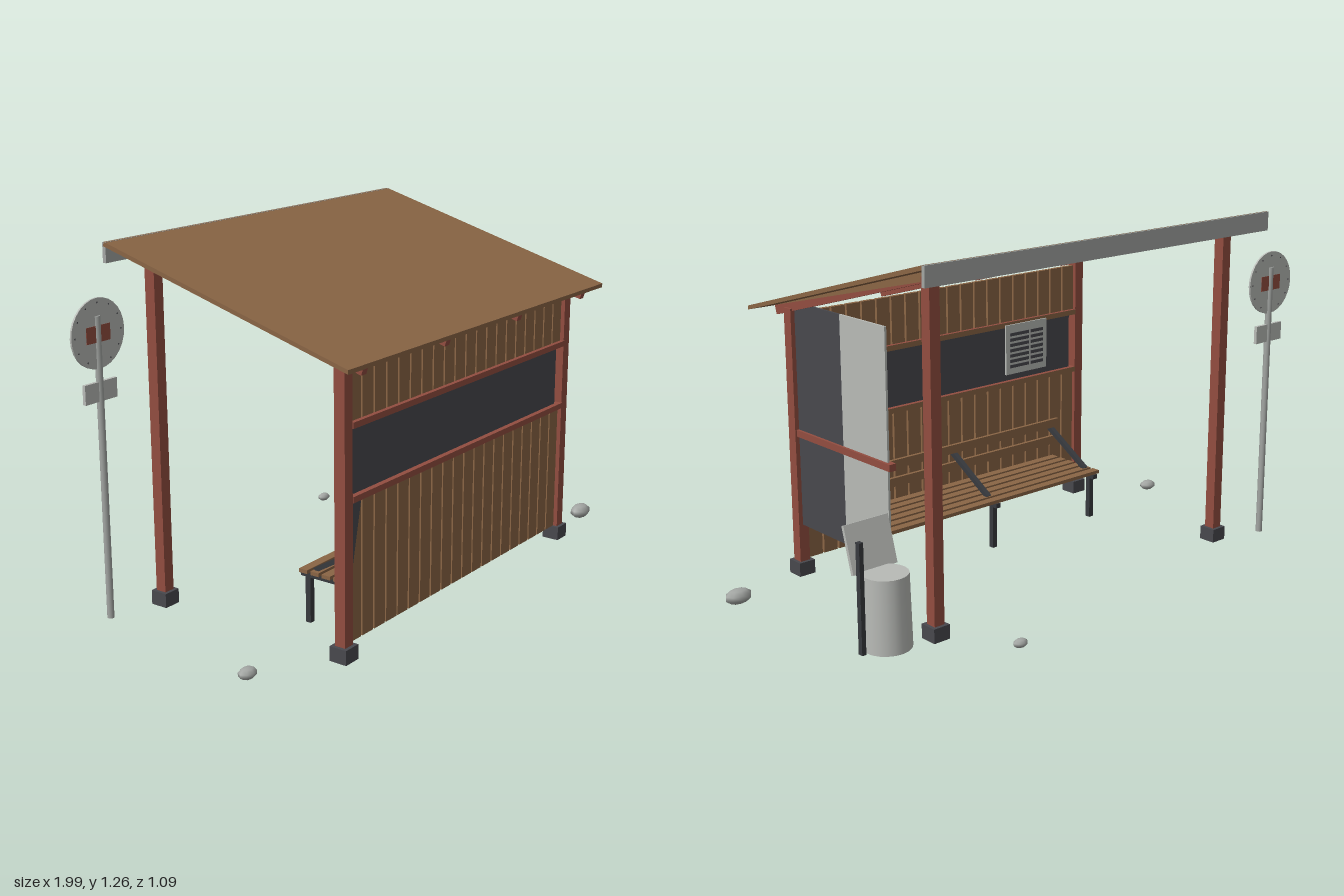
import * as THREE from 'three';

const mat = (name, color, extra = {}) => Object.assign(new THREE.MeshStandardMaterial({ color, ...extra }), { name });

export function createModel() {
  const root = new THREE.Group();
  root.name = 'roadsideShelter';
  const wood = mat('brown wood', 0x8a6545);
  const red = mat('red paint', 0x924d40);
  const dark = mat('dark panel', 0x48484d);
  const iron = mat('dark iron', 0x383a3e);
  const light = mat('light grey', 0xb8bab6);
  const steel = mat('galvanised steel', 0xa3a6a3);

  const add = (name, geo, material, parent = root) => {
    const m = new THREE.Mesh(geo, material);
    m.name = name;
    parent.add(m);
    return m;
  };
  // Box given by its limits on each axis
  const box = (name, [x0, x1], [y0, y1], [z0, z1], material, parent = root) => {
    const m = add(name, new THREE.BoxGeometry(x1 - x0, y1 - y0, z1 - z0), material, parent);
    m.position.set((x0 + x1) / 2, (y0 + y1) / 2, (z0 + z1) / 2);
    return m;
  };
  // Prism along x from a side profile of [z, y] points
  const prism = (name, pts, x0, x1, material, parent = root) => {
    const shape = new THREE.Shape(pts.map(([z, y]) => new THREE.Vector2(-z, y)));
    const geo = new THREE.ExtrudeGeometry(shape, { depth: x1 - x0, bevelEnabled: false });
    geo.rotateY(Math.PI / 2).translate(x0, 0, 0);
    return add(name, geo, material, parent);
  };
  const group = (name) => {
    const g = new THREE.Group();
    g.name = name;
    root.add(g);
    return g;
  };

  // Corner posts with footings
  const posts = group('posts');
  for (const x of [-0.69, 0.65]) {
    for (const [z, top] of [[0.445, 0.985], [-0.31, 1.2]]) {
      box('post', [x - 0.02, x + 0.02], [0.06, top], [z - 0.02, z + 0.02], red, posts);
      box('footing', [x - 0.032, x + 0.032], [0.02, 0.07], [z - 0.032, z + 0.032], dark, posts);
    }
  }

  // Sloping roof, gutter board and two-tone rafters
  const under = (z) => 0.977 + 0.2819 * (0.545 - z);
  prism('roof', [[0.545, 0.977], [-0.42, under(-0.42)], [-0.416, under(-0.42) + 0.014], [0.545, 0.991]], -0.8, 0.76, wood);
  box('gutterBoard', [-0.8, 0.76], [1.195, 1.262], [-0.423, -0.409], steel);
  const rafters = group('rafters');
  for (const x of [-0.69, -0.243, 0.203, 0.65]) {
    const a = [0.53, under(0.53)], b = [0.52, under(0.52) - 0.034];
    const c = [-0.405, under(-0.405) - 0.034], d = [-0.4, under(-0.4)];
    prism('rafterLower', [a, b, c], x - 0.013, x + 0.013, red, rafters);
    prism('rafterUpper', [a, c, d], x - 0.013, x + 0.013, wood, rafters);
  }

  // Plank wall in two bands
  const wall = group('plankWall');
  for (let i = 0; i < 20; i++) {
    const x = -0.668 + i * 0.065;
    box('lowerPlank', [x, x + 0.057], [0.073, 0.537], [0.437, 0.453], wood, wall);
    box('upperPlank', [x, x + 0.057], [0.787, 0.965], [0.437, 0.453], wood, wall);
  }
  const patch = new THREE.Shape([[-0.667, 0.53], [-0.667, 0.27], [-0.612, 0.53]].map((p) => new THREE.Vector2(...p)));
  add('darkPlankPatch', new THREE.ShapeGeometry(patch).translate(0, 0, 0.4545), dark, wall);

  // Rails are red outside and bare wood inside
  for (const y of [0.535, 0.77]) {
    box('wallRail', [-0.67, 0.63], [y, y + 0.02], [0.423, 0.468], [red, red, red, wood, red, wood], wall);
  }
  box('windowPane', [-0.65, 0.605], [0.545, 0.78], [0.441, 0.449], dark, wall);

  // Side screen with rail
  const side = group('sideScreen');
  box('darkScreen', [0.646, 0.654], [0.207, 1.007], [0.163, 0.43], dark, side);
  box('lightScreen', [0.646, 0.654], [0.207, 1.007], [-0.08, 0.163], light, side);
  box('sideRail', [0.637, 0.664], [0.533, 0.557], [-0.103, 0.43], red, side);

  // Notice board on the inside of the wall
  const board = group('noticeBoard');
  box('boardPlate', [-0.505, -0.295], [0.585, 0.78], [0.416, 0.424], light, board);
  for (let i = 0; i < 7; i++) {
    const y = 0.61 + i * 0.021;
    box('boardRowLeft', [-0.485, -0.42], [y, y + 0.012], [0.413, 0.417], dark, board);
    box('boardRowRight', [-0.41, -0.315], [y, y + 0.012], [0.413, 0.417], dark, board);
  }

  // Slatted bench
  const bench = group('bench');
  for (let i = 0; i < 6; i++) {
    const z = 0.155 + i * 0.0465;
    box('seatSlat', [-0.545, 0.51], [0.197, 0.21], [z, z + 0.033], wood, bench);
  }
  for (const y of [0.27, 0.338]) {
    box('backSlat', [-0.545, 0.51], [y, y + 0.033], [0.387, 0.4], wood, bench);
  }
  for (const x of [-0.52, -0.02, 0.48]) {
    box('benchBearer', [x - 0.01, x + 0.01], [0.18, 0.197], [0.15, 0.435], iron, bench);
    box('benchLeg', [x - 0.01, x + 0.01], [0.02, 0.182], [0.17, 0.19], iron, bench);
    prism('benchBrace', [[0.215, 0.205], [0.2, 0.215], [0.42, 0.35], [0.43, 0.335]], x - 0.009, x + 0.009, iron, bench);
  }

  // Round stop sign on a pole
  const sign = group('roundSign');
  const sx = -0.885, sy = 0.988, sz = -0.375;
  add('signPole', new THREE.CylinderGeometry(0.012, 0.012, 1.025, 10), steel, sign).position.set(sx, 0.5325, sz);
  add('signDisc', new THREE.CylinderGeometry(0.115, 0.115, 0.007, 28).rotateX(Math.PI / 2), light, sign).position.set(sx, sy, sz);
  box('signMark', [sx - 0.052, sx + 0.052], [0.96, 1.014], [sz - 0.0048, sz + 0.0048], red, sign);
  box('signPlate', [sx - 0.07, sx + 0.07], [0.767, 0.832], [sz - 0.006, sz + 0.006], light, sign);
  for (let i = 0; i < 12; i++) {
    const a = (i / 12) * Math.PI * 2;
    add('rimStud', new THREE.CylinderGeometry(0.003, 0.003, 0.009, 6).rotateX(Math.PI / 2), dark, sign)
      .position.set(sx + Math.cos(a) * 0.1, sy + Math.sin(a) * 0.1, sz);
  }

  // Litter bin with tilted lid, stains and stake
  const bin = group('litterBin');
  const stain = mat('bin stain', 0x48484d, { side: THREE.DoubleSide });
  add('binBody', new THREE.CylinderGeometry(0.076, 0.083, 0.25, 20), light, bin).position.set(0.8, 0.145, -0.25);
  for (const [start, sweep, h] of [[-0.75, 0.45, 0.07], [0.1, 0.65, 0.08]]) {
    add('binStain', new THREE.CylinderGeometry(0.0775, 0.0797, h, 6, 1, true, start, sweep), stain, bin)
      .position.set(0.8, 0.27 - h / 2, -0.25);
  }
  prism('binLid', [[-0.198, 0.265], [-0.186, 0.262], [-0.141, 0.415], [-0.152, 0.419]], 0.712, 0.885, light, bin);
  box('binStake', [0.889, 0.905], [0.02, 0.395], [-0.26, -0.241], iron, bin);

  // Loose stones
  for (const [x, y, z, rx, ry, rz] of [
    [-0.95, 0.028, 0.272, 0.036, 0.019, 0.027],
    [0.945, 0.027, 0.398, 0.052, 0.027, 0.034],
    [0.48, 0.026, -0.527, 0.028, 0.015, 0.02],
  ]) {
    const s = add('stone', new THREE.SphereGeometry(1, 8, 5), steel);
    s.scale.set(rx, ry, rz);
    s.position.set(x, y, z);
  }
  return root;
}
